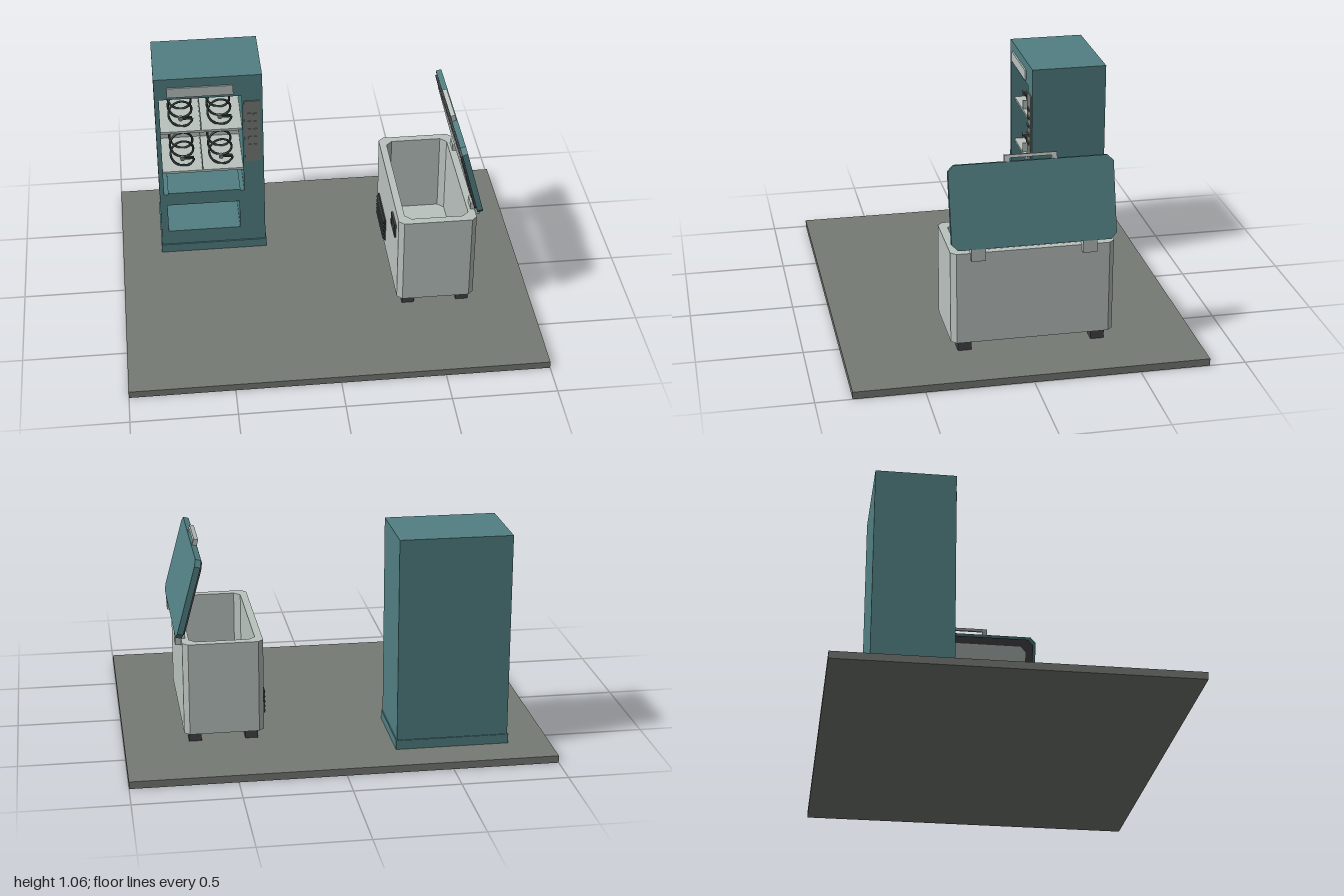
import * as THREE from 'three';

const mat = (name, color) => {
  const m = new THREE.MeshStandardMaterial({ color });
  m.name = name;
  return m;
};

// Rectangle with cut corners, centred on (cx, cy)
function cutRect(w, h, c = 0, cx = 0, cy = 0, Type = THREE.Shape) {
  const a = w / 2, b = h / 2;
  const pts = c > 0
    ? [[-a + c, -b], [a - c, -b], [a, -b + c], [a, b - c], [a - c, b], [-a + c, b], [-a, b - c], [-a, -b + c]]
    : [[-a, -b], [a, -b], [a, b], [-a, b]];
  return new Type(pts.map(([x, y]) => new THREE.Vector2(x + cx, y + cy)));
}
const extrude = (shape, depth) => new THREE.ExtrudeGeometry(shape, { depth, bevelEnabled: false });

export function createModel() {
  const teal = mat('teal paint', 0x517f82);
  const pale = mat('pale metal', 0xbac3bf);
  const grey = mat('floor grey', 0x757a74);
  const dark = mat('dark wire', 0x2e3836);
  const rubber = mat('rubber', 0x444448);

  const model = new THREE.Group();
  const add = (parent, name, geo, material, x = 0, y = 0, z = 0) => {
    const m = new THREE.Mesh(geo, material);
    m.name = name;
    m.position.set(x, y, z);
    parent.add(m);
    return m;
  };
  // Box given by its limits on each axis
  const box = (parent, name, material, x0, x1, y0, y1, z0, z1) =>
    add(parent, name, new THREE.BoxGeometry(x1 - x0, y1 - y0, z1 - z0), material,
      (x0 + x1) / 2, (y0 + y1) / 2, (z0 + z1) / 2);
  const group = (name, parent = model) => {
    const g = new THREE.Group();
    g.name = name;
    parent.add(g);
    return g;
  };

  box(model, 'floor', grey, -1, 1, 0, 0.035, -0.83, 0.83);

  // ---- Vending cabinet: front with two openings, closed by a back panel
  const cabinet = group('vendingCabinet');
  const front = cutRect(0.53, 1.025, 0, -0.532, 0.5475);
  front.holes.push(
    cutRect(0.405, 0.56, 0, -0.572, 0.665, THREE.Path),
    cutRect(0.365, 0.16, 0, -0.578, 0.24, THREE.Path));
  add(cabinet, 'cabinetBody', extrude(front, 0.345), teal, 0, 0, -0.607);
  box(cabinet, 'cabinetBack', teal, -0.797, -0.267, 0.035, 1.06, -0.64, -0.606);
  // Plinth frame around the foot
  box(cabinet, 'plinth', teal, -0.802, -0.262, 0.035, 0.08, -0.645, -0.255);
  box(cabinet, 'windowSill', teal, -0.755, -0.389, 0.385, 0.393, -0.6, -0.26);
  box(cabinet, 'headerPanel', pale, -0.735, -0.41, 0.96, 1.012, -0.263, -0.254);
  box(cabinet, 'keypadPanel', grey, -0.36, -0.282, 0.565, 0.915, -0.263, -0.256);
  for (let r = 0; r < 5; r++) {
    for (const x of [-0.335, -0.307]) {
      box(cabinet, 'keypadButton', grey, x - 0.008, x + 0.008, 0.65 + r * 0.045, 0.666 + r * 0.045, -0.257, -0.251);
    }
  }

  // Wire spiral that ends in a bar from the rim to the hub
  const R = 0.058, turns = 3, length = 0.25, steps = turns * 20;
  const pts = [];
  for (let i = 0; i <= steps; i++) {
    const a = (i / steps) * turns * Math.PI * 2;
    pts.push(new THREE.Vector3(Math.cos(a) * R, Math.sin(a) * R, (i / steps) * length));
  }
  const spiral = new THREE.TubeGeometry(new THREE.CatmullRomCurve3(pts), 120, 0.006, 6);
  const hub = new THREE.CylinderGeometry(0.012, 0.012, 0.02, 10).rotateX(Math.PI / 2);

  for (const y of [0.735, 0.5]) {
    const shelf = group('shelf', cabinet);
    box(shelf, 'shelfPlate', pale, -0.774, -0.37, y, y + 0.012, -0.605, -0.28);
    box(shelf, 'shelfBackStrip', pale, -0.774, -0.37, y + 0.012, y + 0.06, -0.605, -0.595);
    box(shelf, 'shelfDivider', pale, -0.576, -0.571, y + 0.012, y + 0.06, -0.595, -0.28);
    for (const x of [-0.672, -0.478]) {
      const coil = group('coil', shelf);
      coil.position.set(x, y + 0.07, -0.56);
      add(coil, 'spiralWire', spiral, dark);
      for (const z of [0, length]) {
        add(coil, 'coilHub', hub, grey, 0, 0, z);
        box(coil, 'coilBar', dark, 0.01, R, -0.006, 0.006, z - 0.006, z + 0.006);
      }
    }
  }

  // ---- Chest freezer: hollow tub with cut corners
  const chest = group('chest');
  const cx = 0.525, cz = -0.055;
  const tub = cutRect(0.38, 0.77, 0.025);
  tub.holes.push(cutRect(0.31, 0.69, 0.03, 0, 0, THREE.Path));
  add(chest, 'tubWalls', extrude(tub, 0.45).rotateX(-Math.PI / 2), pale, cx, 0.085, cz);
  add(chest, 'tubFloor', extrude(cutRect(0.376, 0.766, 0.025), 0.04).rotateX(-Math.PI / 2), pale, cx, 0.086, cz);
  for (const x of [0.393, 0.662]) {
    for (const z of [0.265, -0.37]) {
      box(chest, 'foot', rubber, x - 0.03, x + 0.03, 0.035, 0.087, z - 0.032, z + 0.032);
    }
  }

  // Vent and control plate on the chest's long face
  box(chest, 'ventPlate', rubber, 0.329, 0.336, 0.13, 0.255, -0.35, -0.1);
  for (let i = 0; i < 5; i++) {
    const slat = box(chest, 'ventSlat', dark, 0.32, 0.332, 0.139 + i * 0.024, 0.15 + i * 0.024, -0.345, -0.105);
    slat.rotation.z = 0.4;
  }
  box(chest, 'controlPlate', rubber, 0.326, 0.336, 0.392, 0.465, 0.12, 0.235);
  box(chest, 'controlDisplay', grey, 0.322, 0.328, 0.41, 0.448, 0.175, 0.222);
  add(chest, 'controlKnob', new THREE.CylinderGeometry(0.014, 0.014, 0.008, 10).rotateZ(Math.PI / 2), dark, 0.324, 0.43, 0.148);

  // Hinges behind the tub
  for (const z of [0.207, -0.315]) {
    box(chest, 'hingeLeaf', pale, 0.713, 0.743, 0.505, 0.565, z - 0.033, z + 0.033);
    box(chest, 'hingeKnuckle', pale, 0.695, 0.73, 0.534, 0.57, z - 0.033, z + 0.033);
  }

  // Open lid, leaning towards the tub
  const lid = group('lid', chest);
  lid.position.set(0.745, 0.565, cz);
  lid.rotation.z = THREE.MathUtils.degToRad(15);
  const slab = (w, h, c, d) => extrude(cutRect(w, h, c), d).rotateY(-Math.PI / 2);
  add(lid, 'lidShell', slab(0.77, 0.39, 0.028, 0.028), teal, 0, 0.195, 0);
  add(lid, 'lidGasket', slab(0.74, 0.36, 0.028, 0.01), rubber, -0.027, 0.195, 0);
  add(lid, 'lidLiner', slab(0.66, 0.28, 0.028, 0.005), pale, -0.035, 0.195, 0);
  for (const z of [-0.11, 0.11]) {
    box(lid, 'handlePost', pale, -0.027, -0.005, 0.385, 0.42, z - 0.0125, z + 0.0125);
  }
  box(lid, 'handleBar', pale, -0.027, -0.005, 0.406, 0.42, -0.1225, 0.1225);

  return model;
}
